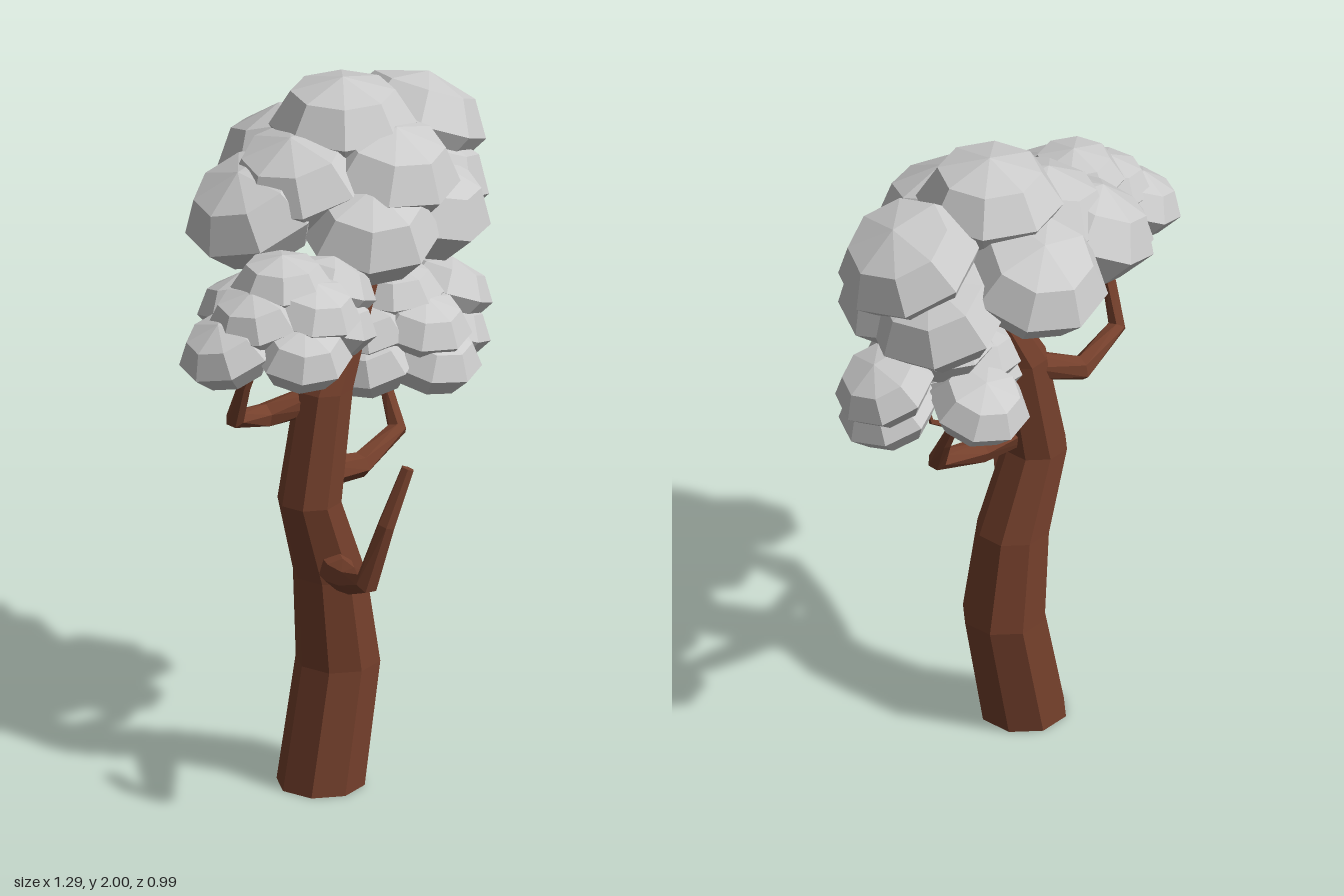
import * as THREE from 'three';

const UP = new THREE.Vector3(0, 1, 0);

// Faceted limb swept through stations [x, y, z, radius]
function limbGeometry(stations, sides, levelRings = false) {
  const pts = stations.map(s => new THREE.Vector3(s[0], s[1], s[2]));
  const n = pts.length;
  const pos = [], idx = [];
  pts.forEach((p, i) => {
    const q = new THREE.Quaternion();
    if (!levelRings) {
      const before = p.clone().sub(pts[Math.max(i - 1, 0)]).normalize();
      const after = pts[Math.min(i + 1, n - 1)].clone().sub(p).normalize();
      q.setFromUnitVectors(UP, before.add(after).normalize());
    }
    for (let j = 0; j < sides; j++) {
      const a = ((j + 0.3) / sides) * Math.PI * 2;
      const v = new THREE.Vector3(Math.cos(a), 0, Math.sin(a))
        .multiplyScalar(stations[i][3]).applyQuaternion(q).add(p);
      pos.push(v.x, v.y, v.z);
    }
  });
  pos.push(...pts[0].toArray(), ...pts[n - 1].toArray());
  const low = n * sides, high = low + 1, last = (n - 1) * sides;
  for (let j = 0; j < sides; j++) {
    const k = (j + 1) % sides;
    for (let i = 0; i < n - 1; i++) {
      const a = i * sides + j, b = i * sides + k;
      idx.push(a, a + sides, b, b, a + sides, b + sides);
    }
    idx.push(low, j, k, high, last + k, last + j);
  }
  const g = new THREE.BufferGeometry();
  g.setAttribute('position', new THREE.Float32BufferAttribute(pos, 3));
  g.setIndex(idx);
  const flat = g.toNonIndexed();
  flat.computeVertexNormals();
  return flat;
}

export function createModel() {
  const tree = new THREE.Group();
  tree.name = 'tree';
  const bark = new THREE.MeshStandardMaterial({ color: 0x75402c, flatShading: true });
  bark.name = 'brown bark';
  const leaf = new THREE.MeshStandardMaterial({ color: 0xcccccc, flatShading: true });
  leaf.name = 'pale grey foliage';

  const addLimb = (name, stations, sides, level) => {
    const m = new THREE.Mesh(limbGeometry(stations, sides, level), bark);
    m.name = name;
    tree.add(m);
  };

  // Winding trunk
  addLimb('trunk', [
    [-0.06, 0, 0.042, 0.124], [0.01, 0.35, 0.042, 0.119], [-0.025, 0.62, 0.044, 0.104],
    [-0.108, 0.86, 0.045, 0.09], [-0.05, 1.18, 0.047, 0.08],
    [0.11, 1.52, 0.06, 0.045], [0.15, 1.64, 0.05, 0.03],
  ], 8, true);

  // Bent branches
  addLimb('frontBranch', [
    [-0.04, 0.66, 0.06, 0.055], [-0.12, 0.675, 0.17, 0.045], [-0.2, 0.715, 0.29, 0.038],
    [-0.265, 0.765, 0.41, 0.034], [-0.235, 0.94, 0.455, 0.026], [-0.175, 1.1, 0.48, 0.019],
  ], 6);
  addLimb('rightBranch', [
    [-0.05, 1.15, 0.04, 0.045], [-0.2, 1.115, -0.04, 0.036], [-0.36, 1.165, 0.0, 0.027],
    [-0.37, 1.28, 0.045, 0.02], [-0.36, 1.37, 0.08, 0.016],
  ], 6);
  addLimb('leftBranch', [
    [-0.08, 0.93, 0.05, 0.045], [0.08, 0.91, 0.06, 0.036], [0.25, 0.96, 0.04, 0.028],
    [0.27, 1.06, -0.02, 0.019], [0.27, 1.14, -0.06, 0.015],
  ], 6);

  // Forked twigs holding the side clusters
  for (const [x, y, z, side] of [[-0.36, 1.36, 0.08, 'right'], [0.27, 1.13, -0.05, 'left']]) {
    for (const [dx, dz] of [[-0.05, 0.02], [0.05, 0.03], [0.0, -0.05]]) {
      addLimb(side + 'Twig', [[x, y, z, 0.01], [x + dx, y + 0.02, z + dz, 0.008],
        [x + dx * 1.3, y + 0.09, z + dz * 1.3, 0.006]], 5);
    }
  }

  // Flattened eight-sided leaf clump
  const clump = new THREE.SphereGeometry(1, 8, 4);

  // Each cluster starts with its crown; the other clumps lean away from it
  const addCluster = (name, r, h, centres) => {
    const group = new THREE.Group();
    group.name = name;
    const [cx, , cz] = centres[0];
    for (const [x, y, z] of centres) {
      const m = new THREE.Mesh(clump, leaf);
      m.name = 'leafClump';
      m.position.set(x, y, z);
      m.scale.set(r, h, r);
      const lean = 0.32 / r;
      const up = new THREE.Vector3((x - cx) * lean, 1, (z - cz) * lean).normalize();
      m.quaternion.setFromUnitVectors(UP, up);
      group.add(m);
    }
    tree.add(group);
  };

  addCluster('topFoliage', 0.205, 0.138, [
    [0.17, 1.862, -0.09], [0.46, 1.785, -0.09], [-0.005, 1.75, -0.09], [0.18, 1.715, -0.3],
    [0.19, 1.76, 0.06], [-0.12, 1.675, -0.15], [0.07, 1.64, 0.1],
    [0.29, 1.635, 0.09], [0.42, 1.645, -0.17], [0.42, 1.65, -0.04],
  ]);
  addCluster('rightFoliage', 0.142, 0.092, [
    [-0.33, 1.598, 0.15], [-0.43, 1.53, 0.15], [-0.31, 1.54, 0.24], [-0.14, 1.53, 0.14],
    [-0.515, 1.455, 0.12], [-0.39, 1.455, 0.28], [-0.19, 1.455, 0.19], [-0.32, 1.5, 0.01],
  ]);
  addCluster('leftFoliage', 0.144, 0.092, [
    [0.25, 1.363, 0.02], [0.455, 1.31, 0.02], [0.15, 1.29, 0.02], [0.26, 1.29, 0.12],
    [0.24, 1.23, -0.13], [0.425, 1.21, 0.04], [0.12, 1.215, 0.05], [0.27, 1.205, 0.15],
  ]);

  return tree;
}
